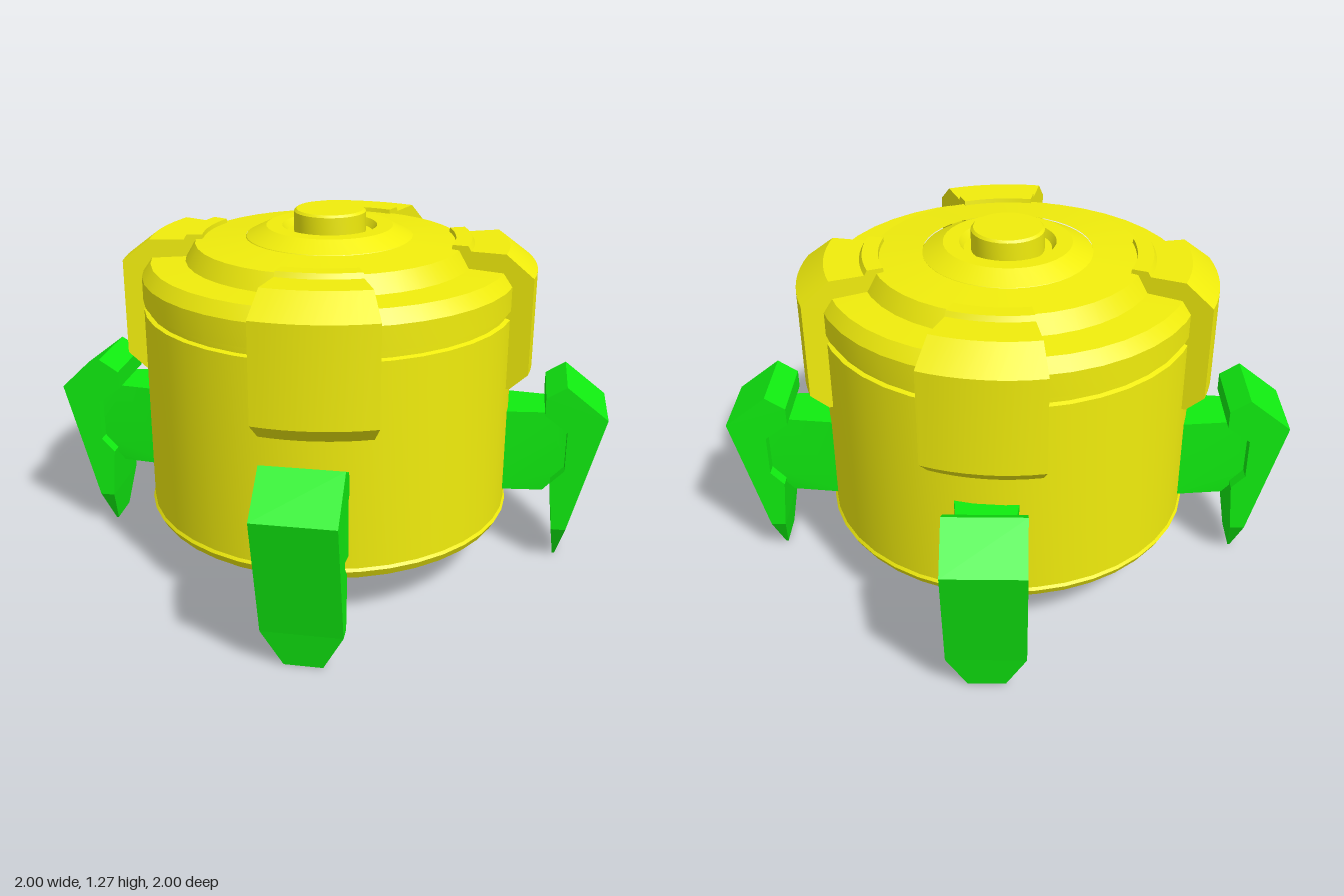
import * as THREE from 'three';
import { toCreasedNormals } from 'three/addons/utils/BufferGeometryUtils.js';

const yellow = new THREE.MeshStandardMaterial({ color: 0xf0ec0c });
const green = new THREE.MeshStandardMaterial({ color: 0x10ec10 });
const vectors = (points) => points.map(([x, y]) => new THREE.Vector2(x, y));

function mesh(name, geometry, material, crease = 0.5) {
  const m = new THREE.Mesh(toCreasedNormals(geometry, crease), material);
  m.name = name;
  return m;
}

function extrude(points, depth, steps = 1) {
  return new THREE.ExtrudeGeometry(new THREE.Shape(vectors(points)), { depth, steps, bevelEnabled: false });
}

// Applies a rule to every vertex of a geometry
function warp(geometry, rule) {
  const p = geometry.attributes.position;
  const v = new THREE.Vector3();
  for (let i = 0; i < p.count; i++) {
    rule(v.fromBufferAttribute(p, i));
    p.setXYZ(i, v.x, v.y, v.z);
  }
  return geometry;
}

// Radial section swept around the y axis between two angles, closed at the ends
function sector(points, from, to) {
  return warp(extrude(points, 1, 8), (v) => {
    const a = THREE.MathUtils.degToRad(from + (to - from) * v.z);
    v.set(v.x * Math.cos(a), v.y, v.x * Math.sin(a));
  });
}

// Section across the leg, centred on z = 0
function slab(points, width) {
  return extrude(points, width).translate(0, 0, -width / 2);
}

function createLeg() {
  const leg = new THREE.Group();
  leg.name = 'leg';
  const width = 0.265;
  // Arm narrows away from the body
  const arm = warp(slab([
    [0.58, 0.27], [0.79, 0.27], [0.87, 0.36], [0.87, 0.53], [0.79, 0.575], [0.58, 0.575],
  ], 0.22), (v) => { if (v.x > 0.7) v.z *= 0.8; });
  leg.add(mesh('arm', arm, green));
  leg.add(mesh('claw', slab([
    [0.83, 0.135], [0.882, 0.135], [0.998, 0.575], [0.85, 0.69],
    [0.78, 0.645], [0.78, 0.58], [0.862, 0.52], [0.862, 0.37], [0.815, 0.32],
  ], width), green, 0.1));
  // Tip tapers toward the ground
  const tip = warp(slab([
    [0.845, 0], [0.853, 0], [0.882, 0.135], [0.83, 0.135],
  ], width), (v) => { if (v.y < 0.05) v.z *= 0.48; });
  leg.add(mesh('clawTip', tip, green, 0.1));
  return leg;
}

export function createModel() {
  const model = new THREE.Group();
  model.name = 'model';

  // Round hull with a groove below the top band
  const hull = new THREE.LatheGeometry(vectors([
    [0, 0.1], [0.37, 0.1], [0.47, 0.125], [0.64, 0.185], [0.657, 0.215],
    [0.65, 0.225], [0.65, 0.94], [0.635, 0.945], [0.635, 0.968], [0.652, 0.972],
    [0.652, 1.055], [0.62, 1.1], [0.5, 1.105], [0.465, 1.165], [0.29, 1.18],
  ]), 40);
  const body = mesh('hull', hull, yellow, 0.3);
  body.scale.z = 0.985;
  model.add(body);

  // Raised centre ring and button
  const cap = mesh('centreRing', new THREE.LatheGeometry(vectors([
    [0.3, 1.165], [0.29, 1.18], [0.22, 1.215], [0.165, 1.215], [0.15, 1.19], [0, 1.19],
  ]), 40), yellow, 0.3);
  const button = mesh('button', new THREE.LatheGeometry(vectors([
    [0.125, 1.18], [0.125, 1.262], [0.117, 1.27], [0, 1.27],
  ]), 32), yellow, 0.3);
  cap.position.z = -0.012;
  button.position.z = -0.02;
  model.add(cap, button);

  // Four clamps over the rim and four legs, set off toward the back left
  const clampSection = [
    [0.6, 0.69], [0.66, 0.69], [0.722, 0.75], [0.722, 1.09], [0.625, 1.165],
    [0.505, 1.165], [0.495, 1.182], [0.44, 1.182], [0.43, 1.1], [0.6, 1.06],
  ];
  for (let i = 0; i < 4; i++) {
    const [low, high, offset] = i < 2 ? [-21.9, 10.4, -0.06] : [-10.4, 21.9, 0.06];
    model.add(mesh('rimClamp', sector(clampSection, i * 90 + low, i * 90 + high), yellow, 0.3));
    const leg = createLeg();
    leg.children.forEach((part) => { part.position.z = offset; });
    leg.rotation.y = -i * Math.PI / 2;
    model.add(leg);
  }
  return model;
}
